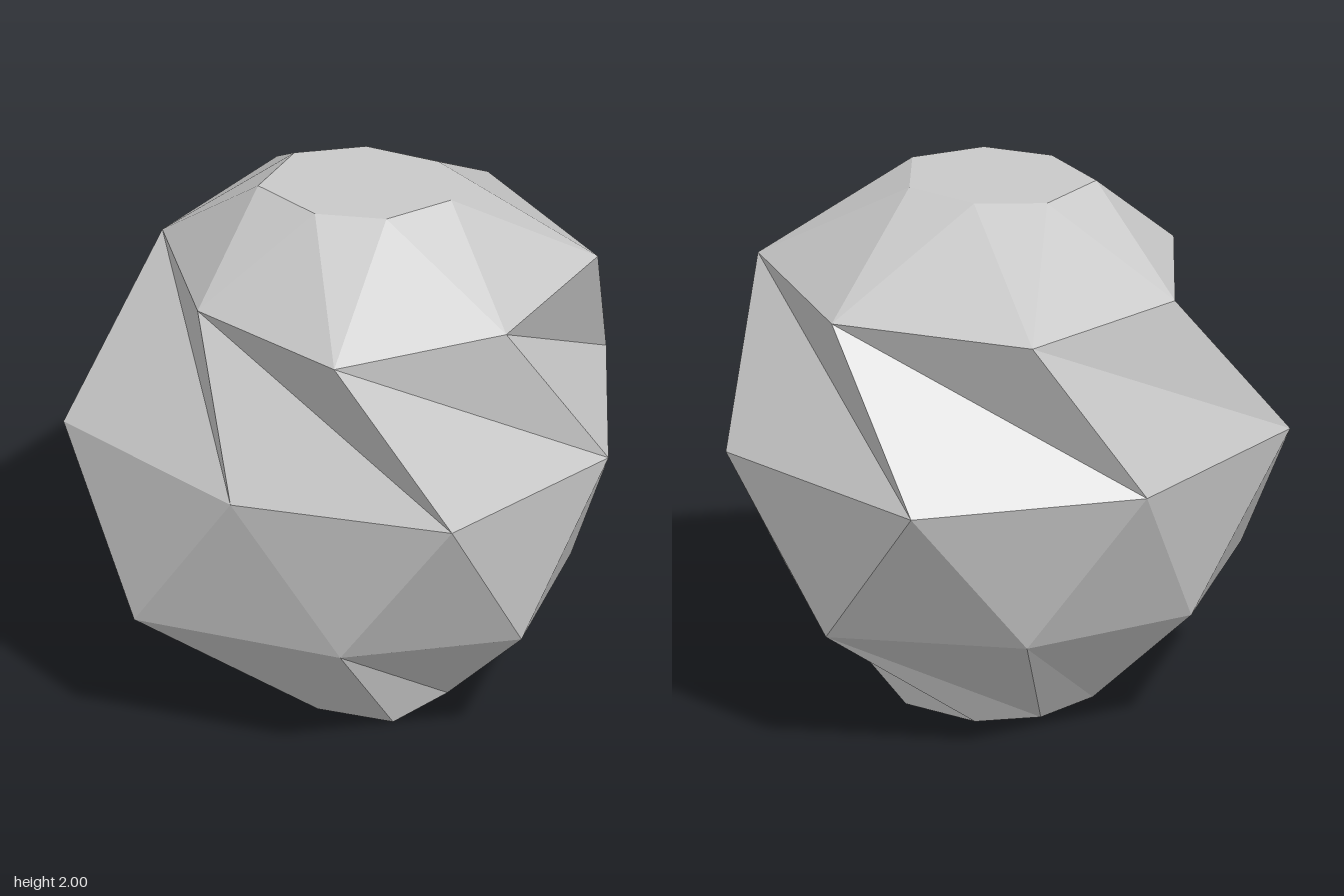
import * as THREE from 'three';

// Five horizontal seven-sided rings, bottom to top; points are [x, z], running from +x towards +z
const RINGS = [
  { y: 0, pts: [[0.30, 0], [0.16, 0.27], [-0.13, 0.37], [-0.31, 0.14], [-0.36, -0.17], [-0.11, -0.30], [0.13, -0.26]] },
  { y: 0.47, pts: [[0.64, 0.34], [0.13, 0.84], [-0.51, 0.63], [-0.99, -0.02], [-0.55, -0.68], [0.13, -0.80], [0.77, -0.43]] },
  { y: 1.07, pts: [[1, -0.01], [0.54, 0.77], [-0.26, 1], [-0.83, 0.39], [-1, -0.5], [-0.26, -1], [0.62, -0.91]] },
  { y: 1.67, pts: [[0.73, 0.38], [0.12, 0.75], [-0.56, 0.67], [-0.74, 0.01], [-0.51, -0.62], [0.15, -0.91], [0.74, -0.41]] },
  { y: 2, pts: [[0.29, -0.01], [0.17, 0.28], [-0.11, 0.29], [-0.31, 0.12], [-0.37, -0.18], [-0.12, -0.34], [0.13, -0.25]] },
];
const SIDES = 7;

function rockGeometry() {
  const positions = RINGS.flatMap(({ y, pts }) => pts.flatMap(([x, z]) => [x, y, z]));
  const at = (ring, k) => ring * SIDES + (k + SIDES) % SIDES;
  const index = [];

  // Facets between neighbouring rings
  for (let r = 0; r < RINGS.length - 1; r++) {
    for (let k = 0; k < SIDES; k++) {
      index.push(at(r + 1, k), at(r, k), at(r, k - 1));
      index.push(at(r + 1, k), at(r + 1, k + 1), at(r, k));
    }
  }

  // Flat base and top
  const top = RINGS.length - 1;
  for (let k = 1; k < SIDES - 1; k++) {
    index.push(at(0, 0), at(0, k), at(0, k + 1));
    index.push(at(top, 0), at(top, k + 1), at(top, k));
  }

  const indexed = new THREE.BufferGeometry();
  indexed.setAttribute('position', new THREE.Float32BufferAttribute(positions, 3));
  indexed.setIndex(index);
  // Separate corners give every facet its own flat normal
  const geometry = indexed.toNonIndexed();
  geometry.computeVertexNormals();
  return geometry;
}

export function createModel() {
  const stone = new THREE.MeshStandardMaterial({ color: 0xc8c8c8 });
  stone.name = 'stone grey';

  const rock = new THREE.Mesh(rockGeometry(), stone);
  rock.name = 'rock';

  const model = new THREE.Group();
  model.name = 'boulder';
  model.add(rock);
  return model;
}
